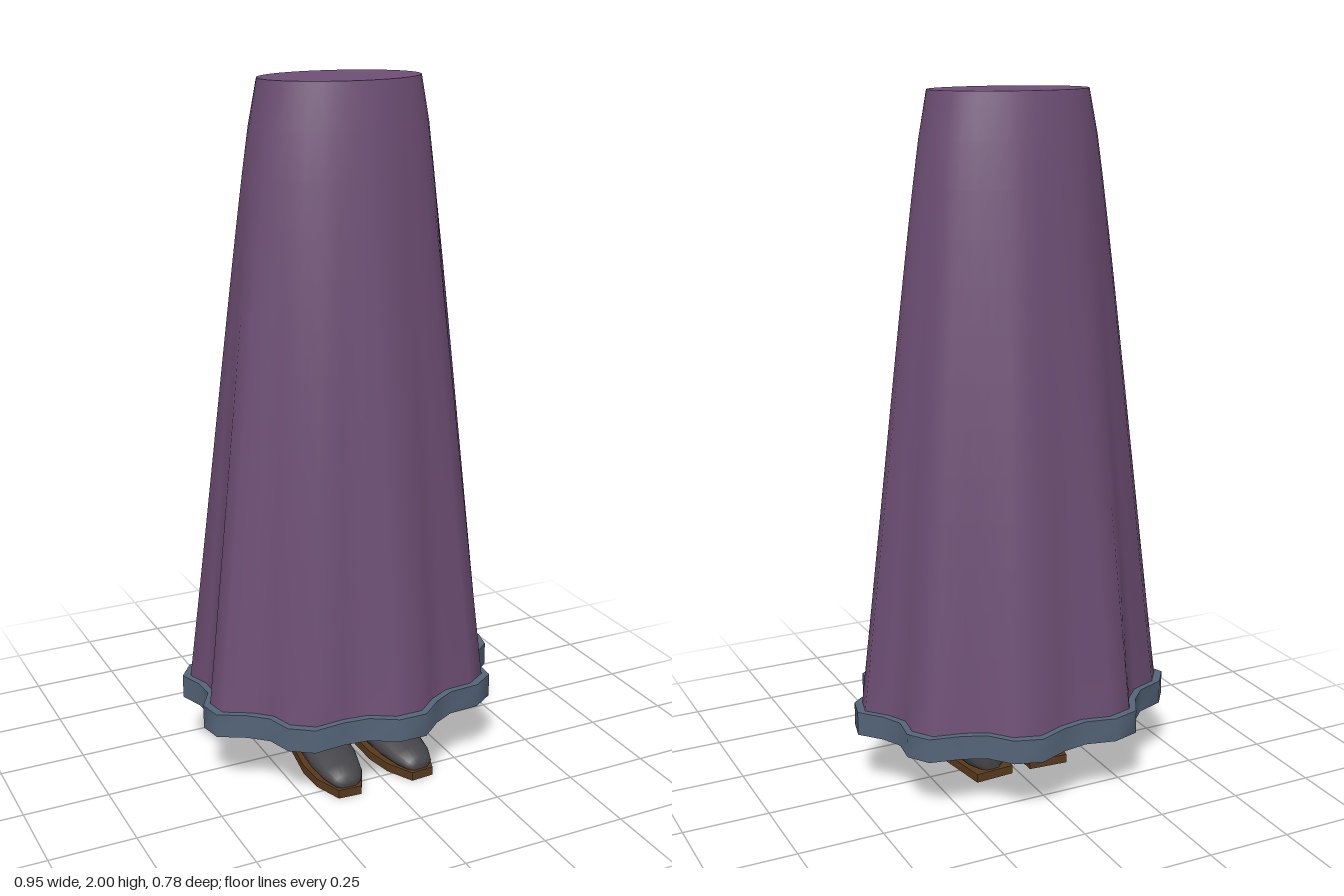
import * as THREE from 'three';
import { toCreasedNormals } from 'three/addons/utils/BufferGeometryUtils.js';

const CENTRE_X = -0.01;
const SEGMENTS = 36;

// Skin a closed surface over a list of rings (equal point counts), capping both ends.
function loft(rings, crease) {
  const n = rings[0].length;
  const pos = [];
  const index = [];
  rings.forEach(r => r.forEach(p => pos.push(...p)));
  for (let i = 0; i < rings.length - 1; i++) {
    for (let j = 0; j < n; j++) {
      const a = i * n + j, b = i * n + (j + 1) % n;
      index.push(a, a + n, b, b, a + n, b + n);
    }
  }
  [0, rings.length - 1].forEach((row, end) => {
    const c = pos.length / 3;
    const mid = [0, 1, 2].map(k => rings[row].reduce((s, p) => s + p[k], 0) / n);
    pos.push(...mid);
    for (let j = 0; j < n; j++) {
      const a = row * n + j, b = row * n + (j + 1) % n;
      if (end) index.push(c, b, a); else index.push(c, a, b);
    }
  });
  const g = new THREE.BufferGeometry();
  g.setAttribute('position', new THREE.Float32BufferAttribute(pos, 3));
  g.setIndex(index);
  return toCreasedNormals(g, crease);
}

// Elliptical ring with nine folds of the given strength.
function foldedRing(y, rx, rz, fold) {
  return Array.from({ length: SEGMENTS }, (_, j) => {
    const t = j / SEGMENTS * Math.PI * 2;
    const f = 1 + fold * (0.062 * Math.cos(9 * t) + 0.042 * Math.sin(9 * t));
    return [rx * f * Math.cos(t), y, rz * f * Math.sin(t)];
  });
}

// Foot cross-section: rounded above, flattened below.
function footRing(z, halfWidth, bottom, top) {
  const n = 20, mid = bottom + (top - bottom) * 0.4;
  return Array.from({ length: n }, (_, j) => {
    const t = j / n * Math.PI * 2, s = Math.sin(t);
    const y = s > 0 ? mid + (top - mid) * s : mid + (mid - bottom) * Math.max(-1, s * 1.4);
    return [halfWidth * Math.cos(t), y, z];
  });
}

export function createModel() {
  const model = new THREE.Group();
  model.name = 'skirtWithShoes';
  const material = (name, color) => {
    const m = new THREE.MeshStandardMaterial({ color });
    m.name = name;
    return m;
  };
  const purple = material('purpleCloth', 0x6e4f75);
  const slate = material('slateTrim', 0x546478);
  const charcoal = material('charcoalLeather', 0x454549);
  const brown = material('brownSole', 0x593a1c);

  const add = (parent, name, geometry, mat) => {
    const mesh = new THREE.Mesh(geometry, mat);
    mesh.name = name;
    parent.add(mesh);
    return mesh;
  };

  // Skirt: narrow smooth waist widening into folds
  const skirtRings = [];
  const steps = 14;
  for (let i = 0; i <= steps; i++) {
    const y = 0.22 + (2 - 0.22) * i / steps;
    const drop = 1 - i / steps;
    const bulge = 0.012 * Math.sin(Math.PI * Math.sqrt(drop));
    skirtRings.push(foldedRing(y, 0.235 + 0.203 * drop + bulge, 0.16 + 0.195 * drop + bulge, drop));
  }
  add(model, 'skirt', loft(skirtRings, 1.1), purple).position.x = CENTRE_X;

  // Hem: closed band following the folds
  const hemRings = [0.185, 0.255].map(y => foldedRing(y, 0.456, 0.373, 1));
  add(model, 'hem', loft(hemRings, 0.9), slate).position.x = CENTRE_X;

  // Sole outline, heel at negative z
  const half = [[0.06, -0.092], [0.068, 0], [0.08, 0.14], [0.07, 0.23], [0.035, 0.312]];
  const outline = [...half, ...half.map(([x, z]) => [-x, z]).reverse()];
  const soleShape = new THREE.Shape(outline.map(([x, z]) => new THREE.Vector2(x, -z)));
  const soleGeometry = new THREE.ExtrudeGeometry(soleShape, { depth: 0.026, bevelEnabled: false });
  soleGeometry.rotateX(-Math.PI / 2);

  // Upper, from toe to heel: z, half width, top height
  const upperGeometry = loft([
    [0.303, 0.025, 0.048], [0.292, 0.042, 0.06], [0.25, 0.06, 0.073], [0.18, 0.072, 0.09],
    [0.1, 0.073, 0.11], [0.04, 0.07, 0.13], [-0.03, 0.067, 0.135], [-0.065, 0.05, 0.125], [-0.082, 0.025, 0.11],
  ].map(([z, w, top]) => footRing(z, w, 0.022, top)), 0.9);
  const ankleGeometry = new THREE.CylinderGeometry(0.068, 0.07, 0.15, 24);

  // Shoes, toes turned slightly outward
  [['right', -1], ['left', 1]].forEach(([side, s]) => {
    const shoe = new THREE.Group();
    shoe.name = side + 'Shoe';
    shoe.position.x = CENTRE_X + s * 0.096;
    shoe.rotation.y = s * 0.07;
    add(shoe, 'sole', soleGeometry, brown);
    add(shoe, 'upper', upperGeometry, charcoal);
    add(shoe, 'ankle', ankleGeometry, charcoal).position.y = 0.135;
    model.add(shoe);
  });
  return model;
}
